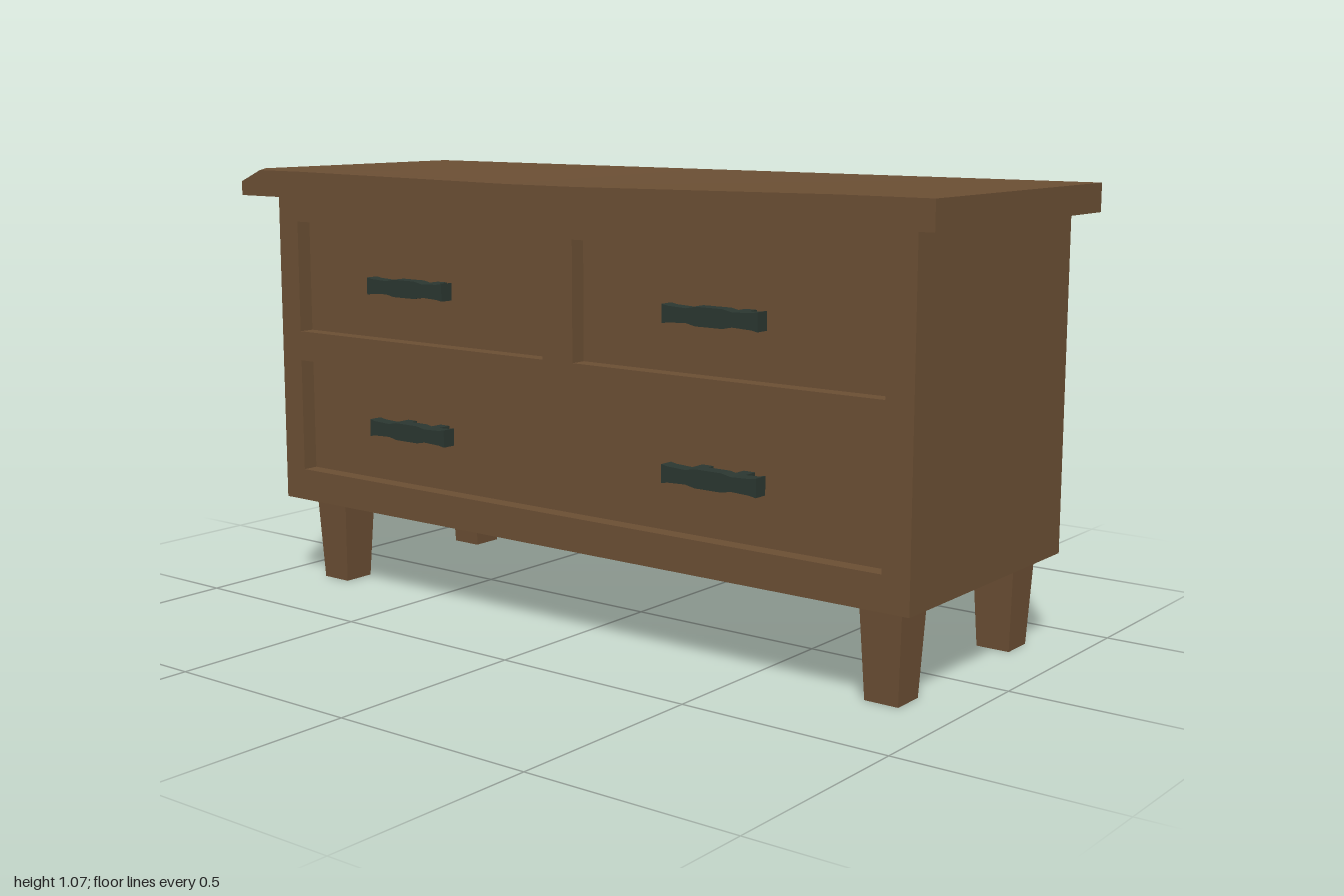
import * as THREE from 'three';

const wood = new THREE.MeshStandardMaterial({ color: 0x6a4e33 });
wood.name = 'brown wood';
const iron = new THREE.MeshStandardMaterial({ color: 0x2a3630 });
iron.name = 'dark iron';

function addMesh(parent, name, geometry, material, x = 0, y = 0, z = 0) {
  const mesh = new THREE.Mesh(geometry, material);
  mesh.name = name;
  mesh.position.set(x, y, z);
  parent.add(mesh);
  return mesh;
}

// Worn table top: five-point sections along x, with a chipped front corner
function tableTopGeometry() {
  const low = 1.005, high = 1.07, front = 0.37, inner = 0.29;
  const stations = [[-1, 1.04], [-0.93, high], [-0.78, 1.07], [-0.1, 1.062], [0.1, 1.062], [0.78, high], [1, high]];
  const rings = stations.map(([x, frontY], i) => {
    const innerY = i === 0 ? high : high - (high - frontY) * (inner + front) / (2 * front);
    return [[x, low, -front], [x, low, front], [x, frontY, front], [x, innerY, inner], [x, high, -front]];
  });
  const positions = [];
  const tri = (a, b, c) => positions.push(...a, ...b, ...c);
  for (let i = 0; i < rings.length - 1; i++) {
    const a = rings[i], b = rings[i + 1];
    for (let j = 0; j < 5; j++) {
      const k = (j + 1) % 5;
      tri(a[j], b[j], b[k].slice());
      tri(a[j], b[k], a[k]);
      // Run the chip's diagonal from the side edge to the front edge
      if (i === 0 && j === 2) {
        positions.length -= 18;
        tri(a[j], b[j], a[k]);
        tri(b[j], b[k], a[k]);
      }
    }
  }
  const first = rings[0], last = rings[rings.length - 1];
  for (let j = 1; j < 4; j++) {
    tri(first[0], first[j], first[j + 1]);
    tri(last[0], last[j + 1], last[j]);
  }
  const geometry = new THREE.BufferGeometry();
  geometry.setAttribute('position', new THREE.Float32BufferAttribute(positions, 3));
  geometry.computeVertexNormals();
  return geometry;
}

// Square leg narrowing towards the floor
function legGeometry() {
  const geometry = new THREE.BoxGeometry(0.104, 0.22, 0.104);
  const p = geometry.attributes.position;
  for (let i = 0; i < p.count; i++) {
    if (p.getY(i) < 0) {
      p.setX(i, p.getX(i) * 0.79);
      p.setZ(i, p.getZ(i) * 0.79);
    }
  }
  geometry.computeVertexNormals();
  return geometry;
}

// Forged bar with wider ends and centre
function handleGeometry() {
  const half = [[-0.125, 0.021], [-0.108, 0.018], [-0.06, 0.016], [-0.035, 0.021], [0.035, 0.021],
    [0.06, 0.016], [0.108, 0.018], [0.125, 0.021]];
  const outline = [...half, ...half.map(([x, y]) => [x, -y]).reverse()];
  const shape = new THREE.Shape(outline.map(([x, y]) => new THREE.Vector2(x, y)));
  return new THREE.ExtrudeGeometry(shape, { depth: 0.035, bevelEnabled: false });
}

function rectangle(PathClass, [x0, y0, x1, y1]) {
  return new PathClass([[x0, y0], [x1, y0], [x1, y1], [x0, y1]].map(([x, y]) => new THREE.Vector2(x, y)));
}

export function createModel() {
  const model = new THREE.Group();
  model.name = 'chestOfDrawers';

  // Cabinet body and front frame
  addMesh(model, 'cabinet', new THREE.BoxGeometry(1.86, 0.785, 0.62), wood, 0, 0.6125, -0.06);
  const openings = [
    [-0.863, 0.66, -0.045, 0.94],
    [0.045, 0.66, 0.863, 0.94],
    [-0.863, 0.3, 0.863, 0.585],
  ];
  const frame = rectangle(THREE.Shape, [-0.93, 0.22, 0.93, 1.005]);
  openings.forEach((o) => frame.holes.push(rectangle(THREE.Path, o)));
  addMesh(model, 'frontFrame', new THREE.ExtrudeGeometry(frame, { depth: 0.06, bevelEnabled: false }), wood, 0, 0, 0.25);

  // Recessed drawer fronts
  openings.forEach(([x0, y0, x1, y1]) => {
    addMesh(model, 'drawerFront', new THREE.BoxGeometry(x1 - x0, y1 - y0, 0.02), wood, (x0 + x1) / 2, (y0 + y1) / 2, 0.26);
  });

  // Table top
  addMesh(model, 'tableTop', tableTopGeometry(), wood);

  // Legs
  const leg = legGeometry();
  for (const x of [-0.828, 0.828]) {
    for (const z of [0.2, -0.297]) addMesh(model, 'leg', leg, wood, x, 0.11, z);
  }

  // Handles on two posts each
  const bar = handleGeometry();
  const post = new THREE.BoxGeometry(0.03, 0.03, 0.045);
  for (const x of [-0.452, 0.452]) {
    for (const y of [0.798, 0.447]) {
      const handle = new THREE.Group();
      handle.name = 'handle';
      handle.position.set(x, y, 0.27);
      addMesh(handle, 'handleBar', bar, iron, 0, 0, 0.042);
      for (const side of [-1, 1]) addMesh(handle, 'handlePost', post, iron, side * 0.055, 0, 0.0215);
      model.add(handle);
    }
  }
  return model;
}
